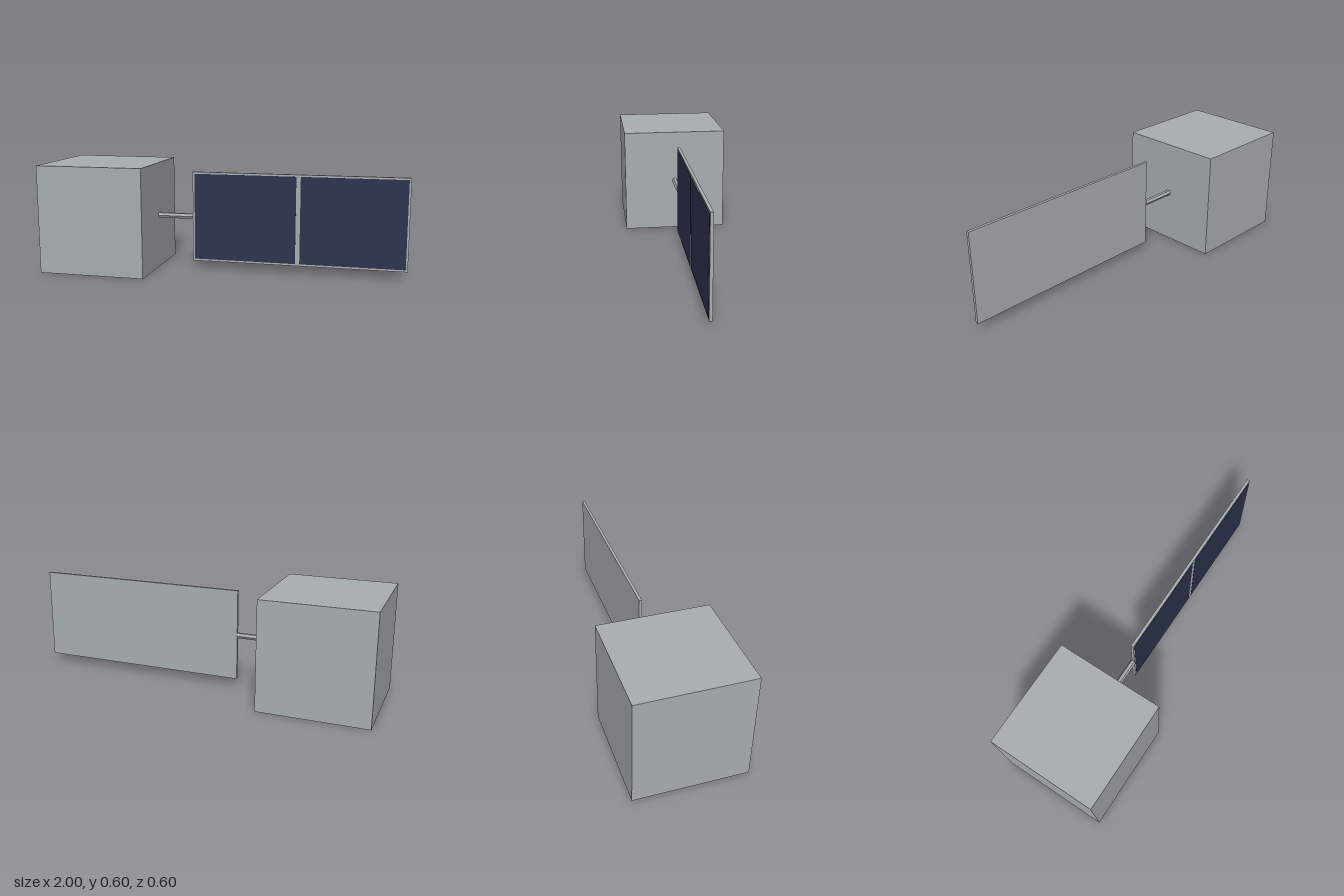
import * as THREE from 'three';

export function createModel() {
  const group = new THREE.Group();
  const grey = new THREE.MeshStandardMaterial({ name: 'satellite grey', color: 0xa8aeb1, flatShading: true });
  const navy = new THREE.MeshStandardMaterial({ name: 'solar navy', color: 0x2d344f, flatShading: true });

  function add(name, geometry, material, x, y, z) {
    const mesh = new THREE.Mesh(geometry, material);
    mesh.name = name;
    mesh.position.set(x, y, z);
    group.add(mesh);
    return mesh;
  }

  const midY = 0.301;
  const panelLeft = -0.195, panelRight = 1;
  const panelX = (panelLeft + panelRight) / 2;
  const panelWidth = panelRight - panelLeft;
  const panelHeight = 0.51, panelDepth = 0.016;
  const rim = 0.011, gap = 0.024;

  // Cube body
  add('body', new THREE.BoxGeometry(0.602, 0.602, 0.602), grey, -0.699, midY, 0);

  // Hexagonal boom between body and panel
  const boom = add('boom', new THREE.CylinderGeometry(0.016, 0.016, 0.203, 6), grey, -0.2965, midY, 0);
  boom.rotation.z = Math.PI / 2;

  // Panel backing, visible as rim and centre bar
  add('panelFrame', new THREE.BoxGeometry(panelWidth, panelHeight, panelDepth), grey, panelX, midY, 0);

  // Two thin solar cells on the front
  const cellWidth = (panelWidth - 2 * rim - gap) / 2;
  const cell = new THREE.BoxGeometry(cellWidth, panelHeight - 2 * rim, 0.002);
  for (const side of [-1, 1]) {
    add(side < 0 ? 'innerSolarCell' : 'outerSolarCell', cell, navy,
      panelX + side * (gap + cellWidth) / 2, midY, panelDepth / 2);
  }

  return group;
}
